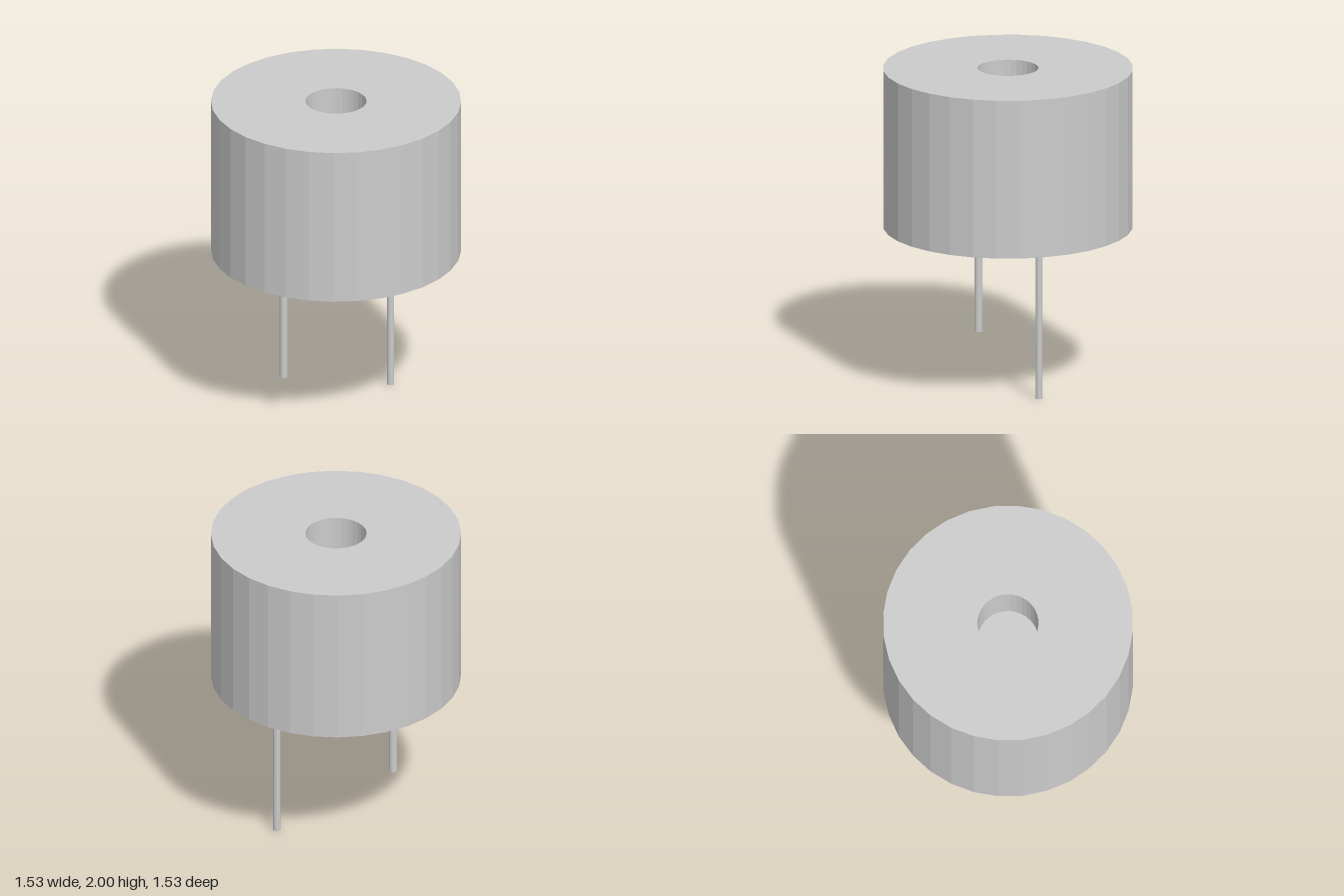
import * as THREE from 'three';

const material = new THREE.MeshStandardMaterial({ color: 0xcccccc, flatShading: true });

// Round connection pin running from the body's underside down to y = bottom
function makePin(name, x, radius, bottom) {
  const top = 1;
  const pin = new THREE.Mesh(
    new THREE.CylinderGeometry(radius, radius, top - bottom, 16), material);
  pin.name = name;
  pin.position.set(x, (top + bottom) / 2, 0);
  return pin;
}

export function createModel() {
  const group = new THREE.Group();
  group.name = 'buzzer';

  // Faceted housing with a blind sound hole in the top
  const profile = [
    [0, 1], [0.765, 1], [0.765, 2], [0.187, 2], [0.187, 1.7], [0, 1.7],
  ].map(([r, y]) => new THREE.Vector2(r, y));
  const housing = new THREE.Mesh(new THREE.LatheGeometry(profile, 32), material);
  housing.name = 'housing';
  group.add(housing);

  // One short, slightly thicker pin and one long pin
  group.add(makePin('shortPin', -0.38, 0.025, 0.24));
  group.add(makePin('longPin', 0.395, 0.022, 0));

  return group;
}
